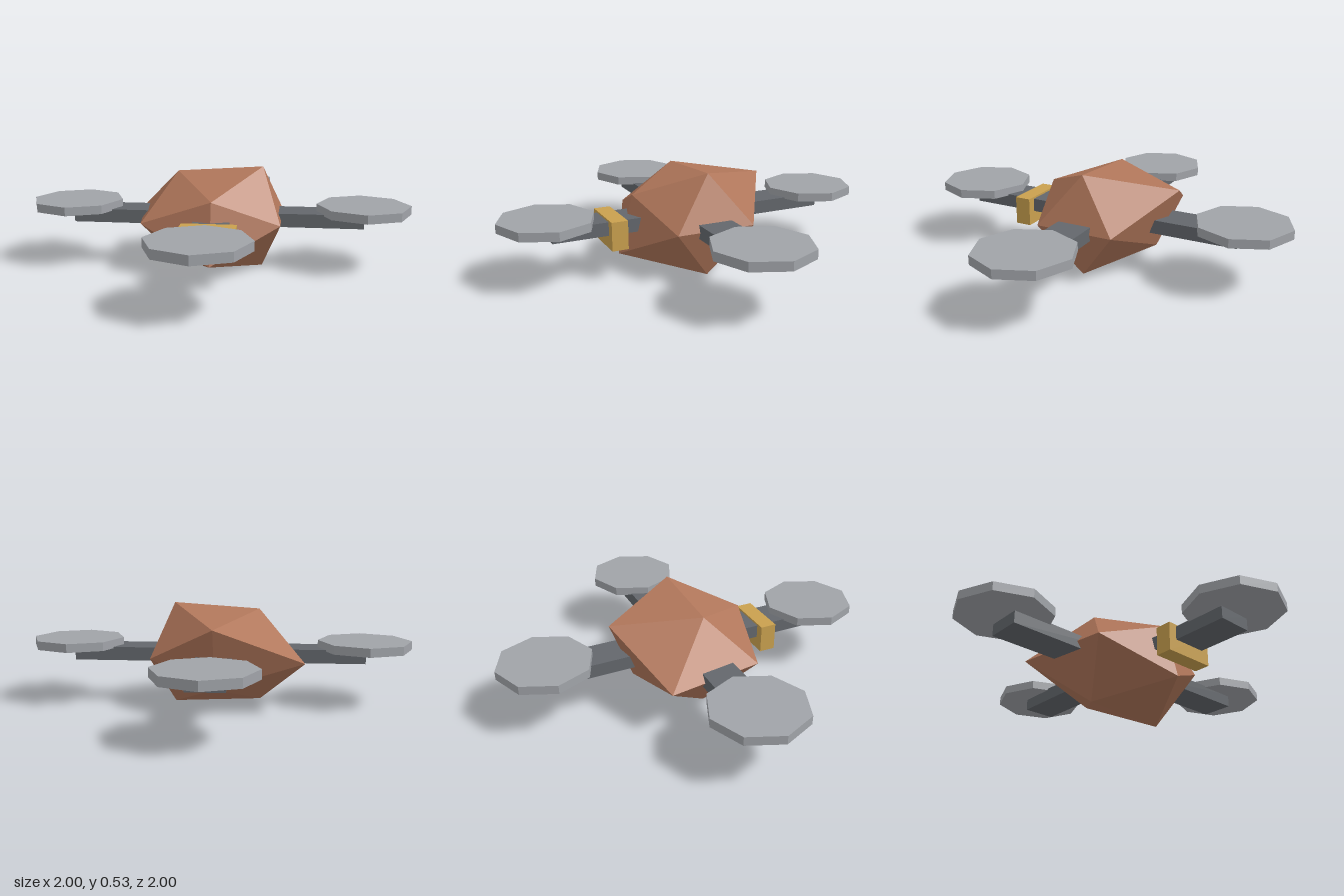
import * as THREE from 'three';

const paint = (name, color) => {
  const m = new THREE.MeshStandardMaterial({ color, flatShading: true });
  m.name = name;
  return m;
};

// Uneven icosahedron: each corner is pushed in or out, then the whole is flattened
function rockGeometry() {
  const P = (1 + Math.sqrt(5)) / 2, flat = 0.7, midY = 0.27;
  const corners = [
    [-1, P, 0], [1, P, 0], [-1, -P, 0], [1, -P, 0],
    [0, -1, P], [0, 1, P], [0, -1, -P], [0, 1, -P],
    [P, 0, -1], [P, 0, 1], [-P, 0, -1], [-P, 0, 1],
  ];
  const reach = [0.209, 0.235, 0.217, 0.235, 0.241, 0.192, 0.188, 0.26, 0.208, 0.207, 0.273, 0.228];
  const points = corners.flatMap(([x, y, z], i) =>
    [x * reach[i], midY + y * reach[i] * flat, z * reach[i]]);
  const faces = [
    0, 11, 5, 0, 5, 1, 0, 1, 7, 0, 7, 10, 0, 10, 11,
    1, 5, 9, 5, 11, 4, 11, 10, 2, 10, 7, 6, 7, 1, 8,
    3, 9, 4, 3, 4, 2, 3, 2, 6, 3, 6, 8, 3, 8, 9,
    4, 9, 5, 2, 4, 11, 6, 2, 10, 8, 6, 7, 9, 8, 1,
  ];
  const indexed = new THREE.BufferGeometry();
  indexed.setAttribute('position', new THREE.Float32BufferAttribute(points, 3));
  indexed.setIndex(faces);
  const geometry = indexed.toNonIndexed();
  geometry.computeVertexNormals();
  return geometry;
}

export function createModel() {
  const model = new THREE.Group();
  model.name = 'drone';
  const copper = paint('copper', 0xb0765a);
  const darkGrey = paint('dark grey', 0x63676c);
  const lightGrey = paint('light grey', 0xa0a3a8);
  const gold = paint('gold', 0xc9a04e);

  const add = (parent, name, geometry, material, x, y, z) => {
    const mesh = new THREE.Mesh(geometry, material);
    mesh.name = name;
    mesh.position.set(x, y, z);
    parent.add(mesh);
  };

  // Faceted body
  add(model, 'body', rockGeometry(), copper, 0, 0, 0);

  // Four arms, each carrying an eight-sided rotor disc
  const armGeometry = new THREE.BoxGeometry(0.18, 0.07, 0.6);
  const rotorGeometry = new THREE.CylinderGeometry(0.242, 0.242, 0.045, 8);
  ['front', 'left', 'back', 'right'].forEach((side, i) => {
    const group = new THREE.Group();
    group.name = side + 'RotorArm';
    add(group, side + 'Arm', armGeometry, darkGrey, 0, 0.272, 0.455);
    add(group, side + 'Rotor', rotorGeometry, lightGrey, 0, 0.322, 0.757);
    group.rotation.y = i * Math.PI / 2;
    model.add(group);
  });

  // Block around the front arm
  add(model, 'frontSensor', new THREE.BoxGeometry(0.27, 0.148, 0.085), gold, 0, 0.243, 0.428);

  return model;
}
